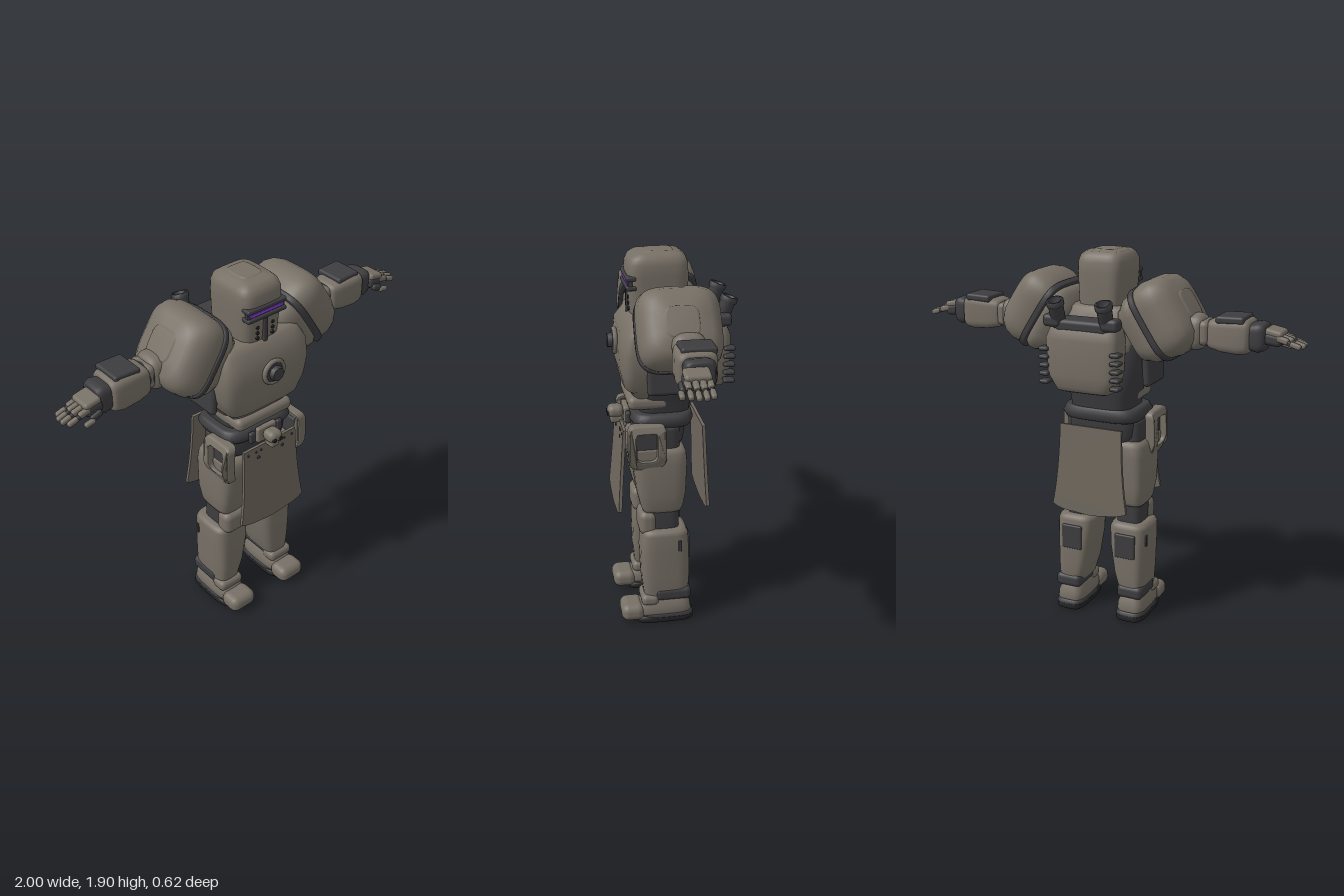
import * as THREE from 'three';
import { mergeVertices } from 'three/addons/utils/BufferGeometryUtils.js';
import { RoundedBoxGeometry } from 'three/addons/geometries/RoundedBoxGeometry.js';

const paint = (name, color) => Object.assign(new THREE.MeshStandardMaterial({ color }), { name });

// Closed smooth body from sections [y, halfWidth, zBack, zFront, centreX], with rounded ends
function loft(sections, { n = 4, bevel = 0.02, seg = 32 } = {}) {
  const inset = (s, dy, d) => [s[0] + dy, Math.max(s[1] - d, 0.002), s[2] + d, s[3] - d, s[4]];
  const a = sections[0], z = sections[sections.length - 1], b = bevel;
  const rings = [inset(a, 0, b), inset(a, b * 0.3, b * 0.3), inset(a, b, 0), ...sections.slice(1, -1),
    inset(z, -b, 0), inset(z, -b * 0.3, b * 0.3), inset(z, 0, b)];
  const pos = [], idx = [];
  const pow = v => Math.sign(v) * Math.abs(v) ** (2 / n);
  rings.forEach(([y, hw, zb, zf, cx = 0]) => {
    for (let i = 0; i < seg; i++) {
      const t = (i / seg) * Math.PI * 2;
      pos.push(cx + hw * pow(Math.cos(t)), y, (zb + zf) / 2 + (zf - zb) / 2 * pow(Math.sin(t)));
    }
  });
  const last = (rings.length - 1) * seg, c0 = rings.length * seg, c1 = c0 + 1;
  [rings[0], rings[rings.length - 1]].forEach(([y, , zb, zf, cx = 0]) => pos.push(cx, y, (zb + zf) / 2));
  for (let i = 0; i < seg; i++) {
    const k = (i + 1) % seg;
    for (let j = 0; j < last; j += seg) idx.push(j + i, j + seg + i, j + k, j + k, j + seg + i, j + seg + k);
    idx.push(c0, i, k, c1, last + k, last + i);
  }
  const g = new THREE.BufferGeometry();
  g.setAttribute('position', new THREE.Float32BufferAttribute(pos, 3));
  g.setIndex(idx);
  g.computeVertexNormals();
  return g;
}

const box = (w, h, d, x, y, z, r = 0.015, rz = 0, rx = 0) =>
  new RoundedBoxGeometry(w, h, d, 3, Math.min(r, w / 2.01, h / 2.01, d / 2.01)).rotateX(rx).rotateZ(rz).translate(x, y, z);

// Same shape on the other side of the body
function mirrored(geo) {
  const g = geo.index ? geo.clone() : mergeVertices(geo);
  g.scale(-1, 1, 1);
  const ix = g.index.array;
  for (let i = 0; i < ix.length; i += 3) [ix[i], ix[i + 1]] = [ix[i + 1], ix[i]];
  if (g.attributes.normal.getX(0) * geo.attributes.normal.getX(0) > 0) {
    const nrm = g.attributes.normal;
    for (let i = 0; i < nrm.count; i++) nrm.setX(i, -nrm.getX(i));
  }
  return g;
}

export function createModel() {
  const root = new THREE.Group();
  root.name = 'armouredKnight';
  const armour = paint('armourGrey', 0x777066);
  const dark = paint('darkMetal', 0x3d3d40);
  const black = paint('soleBlack', 0x232325);
  const glow = paint('visorPurple', 0x8c3fe0);
  const cloth = paint('tabardCloth', 0x6f685e);
  cloth.side = THREE.DoubleSide;

  const add = (name, geo, mat) => {
    const m = new THREE.Mesh(geo, mat);
    m.name = name;
    root.add(m);
    return m;
  };
  const pair = (name, geo, mat) => {
    add(name + 'Left', geo, mat);
    add(name + 'Right', mirrored(geo), mat);
  };

  // Helmet
  add('helmet', loft([[1.54, .1, -.08, .185], [1.62, .112, -.085, .193], [1.72, .117, -.088, .2], [1.79, .121, -.088, .205],
    [1.84, .12, -.086, .204], [1.87, .11, -.075, .19], [1.888, .09, -.05, .165], [1.897, .06, -.02, .12]], { n: 4.5, bevel: .006 }), armour);
  for (const y of [1.735, 1.78]) add('visorRim', box(.228, .022, .05, 0, y, .19, .008), dark);
  add('visorRecess', box(.22, .03, .02, 0, 1.757, .194, .004), dark);
  add('visorGlow', box(.2, .016, .009, 0, 1.757, .204, .003), glow);
  add('faceBar', box(.026, .15, .02, 0, 1.655, .195, .006), dark);
  for (const y of [1.625, 1.652, 1.68])
    pair('breathHole', new THREE.CylinderGeometry(.009, .009, .008, 10).rotateX(Math.PI / 2).translate(.045, y, .197), black);

  // Torso
  add('torsoCore', loft([[1.1, .16, -.09, .165], [1.2, .17, -.1, .17], [1.3, .21, -.12, .17], [1.45, .23, -.13, .16], [1.56, .2, -.12, .15]]), dark);
  add('upperBack', loft([[1.4, .2, -.14, .08], [1.52, .21, -.145, .12], [1.64, .17, -.12, .1]], { bevel: .04 }), armour);
  add('chestPlate', loft([[1.2, .175, .06, .205], [1.26, .21, .05, .235], [1.34, .243, .04, .252], [1.44, .258, .04, .258],
    [1.53, .25, .04, .248], [1.61, .235, .02, .215]], { n: 4.5, bevel: .035 }), armour);
  pair('sidePad', box(.04, .16, .2, .245, 1.335, .04, .02, .06), dark);
  add('abdomenPlate', box(.34, .07, .2, 0, 1.183, .12, .03), armour);

  // Chest emblem
  const disc = (r, d, z, n = 8) => new THREE.CylinderGeometry(r * .85, r, d, n).rotateX(Math.PI / 2).translate(0, 1.46, z);
  add('emblemRim', new THREE.TorusGeometry(.056, .012, 8, 24).translate(0, 1.46, .263), armour);
  add('emblemBase', disc(.058, .02, .264, 24), dark);
  add('emblemBoss', disc(.04, .035, .28), dark);

  // Backpack with exhausts and side fins
  add('backpack', loft([[1.24, .15, -.265, -.12], [1.33, .18, -.282, -.12], [1.5, .19, -.282, -.12], [1.575, .175, -.265, -.12]],
    { n: 5, bevel: .03 }), armour);
  add('backpackTop', box(.27, .06, .13, 0, 1.565, -.2, .02), dark);
  pair('exhaustMount', box(.09, .06, .07, .15, 1.585, -.24, .02), dark);
  const pipe = new THREE.LatheGeometry([[.001, -.07], [.034, -.07], [.036, .05], [.042, .055], [.042, .08], [.028, .08], [.028, .04], [.001, .04]]
    .map(p => new THREE.Vector2(...p)), 18).rotateX(-.35).translate(.125, 1.61, -.245);
  pair('exhaustPipe', pipe, dark);
  for (let i = 0; i < 5; i++) pair('coolingFin', box(.05, .02, .055, .185, 1.29 + i * .04, -.262, .009), dark);

  // Belt and skull buckle
  add('belt', loft([[1.06, .2, -.1, .2], [1.095, .212, -.106, .212], [1.13, .2, -.1, .2]], { n: 4, bevel: .015 }), dark);
  add('pelvis', loft([[.9, .13, -.04, .13], [.98, .18, -.06, .18], [1.08, .185, -.07, .18]]), dark);
  add('buckle', box(.12, .085, .03, 0, 1.09, .215, .012), armour);
  add('skull', box(.08, .062, .08, 0, 1.097, .265, .028), armour);
  add('skullJaw', box(.052, .035, .06, 0, 1.055, .262, .012), armour);
  pair('skullEye', new THREE.CylinderGeometry(.011, .011, .009, 12).rotateX(Math.PI / 2).translate(.019, 1.09, .303), black);
  pair('beltClasp', box(.035, .06, .025, .085, 1.09, .212, .01), dark);

  // Front and back tabard
  const flap = new THREE.Shape();
  flap.moveTo(-.165, 0);
  flap.lineTo(.165, 0);
  flap.quadraticCurveTo(.168, -.24, .202, -.42);
  flap.quadraticCurveTo(.16, -.45, .08, -.448);
  flap.quadraticCurveTo(0, -.462, -.08, -.448);
  flap.quadraticCurveTo(-.16, -.44, -.202, -.42);
  flap.quadraticCurveTo(-.168, -.24, -.165, 0);
  for (const [name, z, tilt] of [['frontTabard', .232, -.078], ['backTabard', -.158, .045]]) {
    const m = add(name, new THREE.ExtrudeGeometry(flap, { depth: .016, bevelEnabled: false, curveSegments: 8 }), cloth);
    m.position.set(0, 1.05, z);
    m.rotation.x = tilt;
  }
  const stud = (x, y, r) => new THREE.CylinderGeometry(r, r, .006, 10).rotateX(Math.PI / 2).translate(x, y, .25 + (1.05 - y) * .078);
  pair('tabardStud', stud(.077, .99, .009), dark);
  for (const x of [.06, .09, .14]) pair('tabardStitch', stud(x, 1.026, .006), dark);

  // Hip guards: bowed open frames
  const frame = (s, x0, x1, y0, y1, r) => {
    s.moveTo(x0, y1 - r * .5); s.lineTo(x0, y0 + r);
    s.quadraticCurveTo(x0, y0, x0 + r, y0); s.lineTo(x1 - r, y0);
    s.quadraticCurveTo(x1, y0, x1, y0 + r); s.lineTo(x1, y1 - r * .5);
    s.quadraticCurveTo(x1, y1, x1 - r * .5, y1); s.lineTo(x0 + r * .5, y1);
    s.quadraticCurveTo(x0, y1, x0, y1 - r * .5);
    return s;
  };
  const guard = frame(new THREE.Shape(), .055, .225, .87, 1.09, .06);
  guard.holes.push(frame(new THREE.Path(), .085, .2, .905, 1.065, .045));
  const guardGeo = new THREE.ExtrudeGeometry(guard, { depth: .035, bevelSize: .008, bevelThickness: .008, bevelSegments: 2 })
    .rotateY(-Math.PI / 2).translate(.258, 0, 0);
  const gp = guardGeo.attributes.position;
  for (let i = 0; i < gp.count; i++) gp.setX(i, gp.getX(i) - .035 * ((gp.getY(i) - .99) / .12) ** 2);
  guardGeo.computeVertexNormals();
  pair('hipGuard', guardGeo, armour);
  pair('hipGuardLining', box(.03, .1, .13, .21, 1.01, .14, .01), dark);
  pair('hipGuardPanel', box(.03, .08, .13, .215, .93, .14, .012), armour);

  // Legs
  pair('hipJoint', loft([[.88, .07, -.03, .13, .13], [1.07, .075, -.03, .15, .13]]), dark);
  pair('thigh', loft([[.61, .078, -.045, .165, .145], [.72, .088, -.058, .185, .147], [.88, .093, -.065, .205, .143], [.96, .088, -.06, .195, .14]],
    { bevel: .03 }), armour);
  pair('kneeJoint', loft([[.48, .068, -.025, .13, .14], [.65, .068, -.025, .13, .14]]), dark);
  pair('kneePad', box(.155, .13, .09, .138, .555, .133, .035), armour);
  pair('shin', loft([[.125, .066, -.07, .158, .172], [.25, .083, -.077, .168, .16], [.4, .098, -.075, .172, .15], [.525, .102, -.068, .168, .148]],
    { bevel: .028 }), armour);
  pair('calfPanel', box(.11, .13, .02, .15, .41, -.07, .008), dark);
  pair('shinSlot', box(.009, .06, .016, .247, .44, -.02, .003), dark);

  // Boots
  pair('ankleGuard', box(.14, .07, .185, .175, .157, .012, .025), dark);
  pair('ankleCap', box(.145, .06, .09, .175, .13, .13, .025), armour);
  pair('boot', loft([[.03, .076, -.085, .19, .172], [.09, .074, -.08, .19, .172], [.142, .062, -.07, .165, .172]], { bevel: .025 }), armour);
  pair('toeCap', box(.155, .09, .12, .172, .061, .218, .038), armour);
  pair('sole', loft([[0, .078, -.096, .2, .172], [.018, .08, -.097, .21, .172], [.036, .078, -.096, .2, .172]], { bevel: .008 }), black);
  pair('bootTrim', loft([[.028, .079, -.096, .17, .172], [.05, .077, -.09, .17, .172]], { bevel: .006 }), dark);

  // Shoulder guards, tilted up and outwards
  const shoulder = g => g.rotateZ(-1).translate(.295, 1.575, 0);
  pair('shoulderDome', shoulder(loft([[0, .186, -.18, .198], [.05, .194, -.187, .205], [.1, .186, -.182, .198], [.14, .165, -.16, .178],
    [.168, .13, -.125, .143], [.182, .075, -.07, .088]], { bevel: .01, seg: 48 })), armour);
  pair('shoulderTrim', shoulder(loft([[-.022, .192, -.188, .205], [.008, .192, -.188, .205]], { bevel: .006, seg: 48 })), dark);
  pair('shoulderInner', shoulder(loft([[-.13, .15, -.155, .17], [-.07, .172, -.17, .185], [-.01, .178, -.174, .19]], { bevel: .03 })), armour);

  // Arms, built along x
  const arm = (s, o) => loft(s, o).rotateZ(-Math.PI / 2).translate(0, 1.545, 0);
  pair('upperArm', arm([[.3, .08, -.085, .07], [.53, .085, -.09, .07]], { n: 3, bevel: .03 }), armour);
  pair('elbow', arm([[.48, .06, -.07, .06], [.58, .06, -.07, .06]], { n: 3 }), dark);
  pair('elbowBand', box(.055, .115, .14, .535, 1.548, -.01, .025), armour);
  pair('forearm', arm([[.55, .07, -.075, .08], [.62, .08, -.088, .088], [.7, .085, -.092, .092], [.755, .08, -.088, .088]], { n: 4.5 }), armour);
  pair('forearmPanel', box(.135, .035, .155, .665, 1.622, -.01, .012, .03), dark);
  pair('wristCuff', arm([[.74, .062, -.065, .07], [.79, .07, -.07, .075], [.82, .064, -.062, .07]], { bevel: .012 }), dark);

  // Hands
  pair('palm', box(.09, .06, .12, .85, 1.54, .025, .022, -.12), dark);
  pair('handPlate', box(.085, .035, .115, .855, 1.568, .025, .015, -.2), armour);
  for (let i = 0; i < 4; i++) {
    const z = -.022 + i * .031, reach = i === 0 || i === 3 ? -.014 : 0;
    pair('fingerBase', box(.06, .03, .027, .912 + reach, 1.542, z, .011, -.25), armour);
    pair('fingerJoint', box(.03, .022, .02, .938 + reach, 1.53, z, .008, -.3), dark);
    pair('fingerTip', box(.055, .026, .025, .972 + reach, 1.521, z, .011, -.3), armour);
  }
  pair('thumbBase', box(.06, .032, .03, .85, 1.515, .085, .013, -.35), dark);
  pair('thumbTip', box(.055, .026, .026, .89, 1.497, .095, .011, -.2), armour);

  return root;
}
